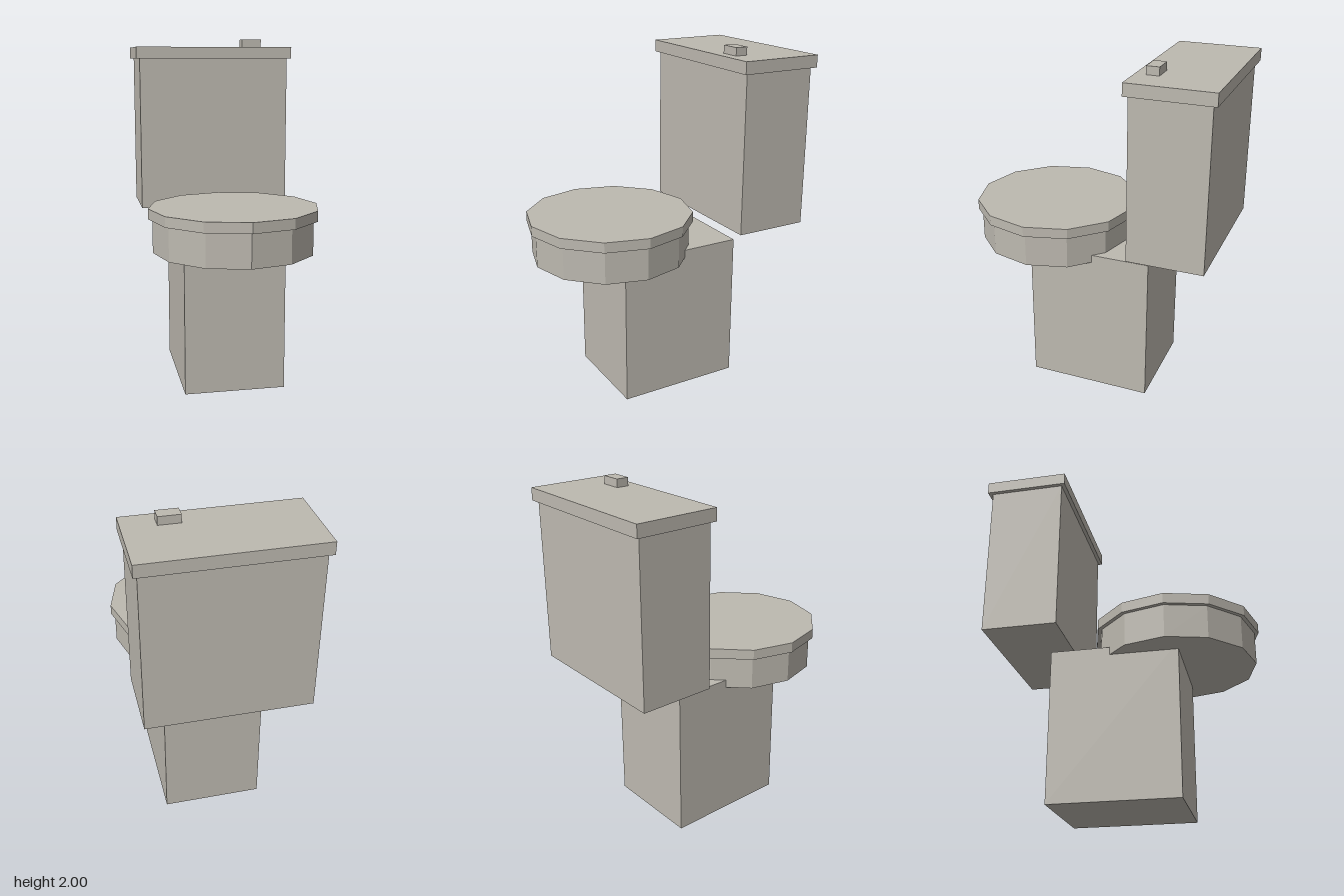
import * as THREE from 'three';

export function createModel() {
  const group = new THREE.Group();
  const ceramic = new THREE.MeshStandardMaterial({ color: 0xbdb9b0 });
  ceramic.name = 'warm grey ceramic';
  ceramic.flatShading = true;

  const add = (name, geometry, x, y, z) => {
    const mesh = new THREE.Mesh(geometry, ceramic);
    mesh.name = name;
    mesh.position.set(x, y, z);
    group.add(mesh);
  };
  // Box given by its extents along each axis
  const box = (name, [x0, x1], [y0, y1], [z0, z1]) =>
    add(name, new THREE.BoxGeometry(x1 - x0, y1 - y0, z1 - z0),
      (x0 + x1) / 2, (y0 + y1) / 2, (z0 + z1) / 2);
  // Upright twelve-sided disc over the bowl centre
  const disc = (name, r, y0, y1) =>
    add(name, new THREE.CylinderGeometry(r, r, y1 - y0, 12), 0, (y0 + y1) / 2, 0.288);

  // Pedestal, bowl and closed seat
  box('pedestal', [-0.29, 0.29], [0, 0.87], [-0.385, 0.34]);
  disc('bowl', 0.457, 0.825, 1.015);
  disc('seatLid', 0.48, 1.015, 1.074);

  // Water tank with lid and flush button
  box('tank', [-0.458, 0.458], [0.968, 1.884], [-0.745, -0.313]);
  box('tankLid', [-0.48, 0.48], [1.884, 1.954], [-0.77, -0.29]);
  box('flushButton', [0.18, 0.3], [1.954, 2], [-0.422, -0.35]);

  return group;
}
